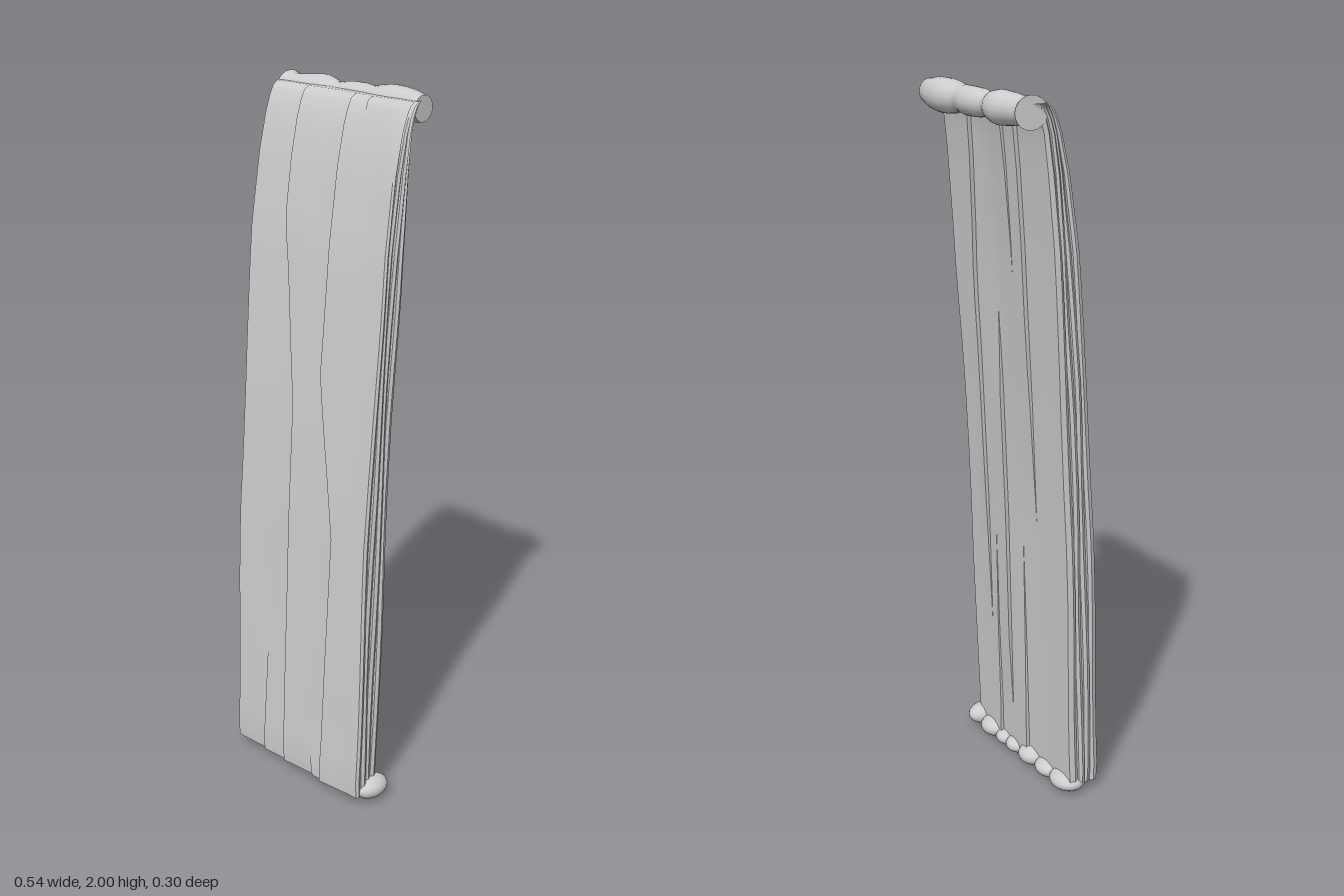
import * as THREE from 'three';
import { toCreasedNormals } from 'three/addons/utils/BufferGeometryUtils.js';

const cloth = new THREE.MeshStandardMaterial({ color: 0xcccccc, side: THREE.DoubleSide });
cloth.name = 'pale grey cloth';

// linear lookup in rows [y, a, b, ...] sorted by falling y
function lookup(rows, y, k) {
  if (y >= rows[0][0]) return rows[0][k];
  for (let i = 1; i < rows.length; i++) {
    const a = rows[i - 1], b = rows[i];
    if (y >= b[0]) return a[k] + (b[k] - a[k]) * (a[0] - y) / (a[0] - b[0]);
  }
  return rows[rows.length - 1][k];
}

// bundle profile: [y, front z, back z]
const PROFILE = [
  [1.975, -0.05, -0.085], [1.965, -0.035, -0.075], [1.94, -0.022, -0.062], [1.9, -0.008, -0.052],
  [1.8, 0.015, -0.04], [1.6, 0.045, -0.022], [1.2, 0.084, 0.007], [0.8, 0.11, 0.027],
  [0.4, 0.129, 0.043], [0.08, 0.142, 0.054], [0.03, 0.139, 0.056],
];
const ROWS = [0.03, 0.045, 0.08, 0.15, 0.25, 0.4, 0.55, 0.65, 0.75, 0.8, 0.95, 1.15, 1.25, 1.4, 1.5,
  1.6, 1.65, 1.75, 1.8, 1.85, 1.9, 1.92, 1.94, 1.955, 1.965, 1.975];

// pleat edges from left to right: [y, x, step depth]
const FRONT_PLEATS = [
  [[1.97, -0.17, 0], [0.55, -0.13, 0], [0.03, -0.14, 0.008]],
  [[1.97, -0.13, 0.009], [1.65, -0.13, 0.008], [1.5, -0.11, 0.003], [1.15, -0.06, 0.007], [0.03, -0.055, 0.007]],
  [[1.97, 0, 0], [0.15, 0.045, 0], [0.03, 0.06, 0.006]],
  [[1.97, 0.04, 0.009], [1.25, 0.04, 0.008], [0.8, 0.11, 0.008], [0.03, 0.095, 0.008]],
  [[1.97, 0.1, 0.006], [1.92, 0.1, 0], [0.8, 0.16, 0], [0.03, 0.16, 0]],
];
const BACK_PLEATS = [
  [[1.97, -0.125, 0.012], [1.3, -0.11, 0.012], [0.8, -0.11, 0], [0.03, -0.12, 0]],
  [[1.97, -0.07, 0.01], [1.5, -0.06, 0], [0.75, -0.04, 0], [0.03, -0.04, 0.012]],
  [[1.97, 0.03, 0], [1.4, 0.03, 0], [1.15, 0.03, 0.012], [0.4, 0.035, 0.01], [0.15, 0.035, 0]],
  [[1.97, 0.06, 0], [0.75, 0.09, 0], [0.03, 0.1, 0.01]],
  [[1.97, 0.085, 0.012], [1.45, 0.13, 0.012], [0.8, 0.13, 0.01], [0.4, 0.13, 0]],
];
const LAYERS = 4, SPLIT = 3;

// points [x, outward offset] across one face; each pleat edge is doubled to make a step
function faceRow(y, pleats, left, right) {
  const edges = pleats.map(p => ({ x: lookup(p, y, 1), s: lookup(p, y, 2) }));
  const stops = [left, ...edges.map(e => e.x), right];
  const row = [];
  for (let i = 0; i < stops.length - 1; i++) {
    for (let j = 0; j <= SPLIT; j++) {
      const x = stops[i] + (stops[i + 1] - stops[i]) * j / SPLIT;
      let off = pleats.length ? 0.006 * Math.max(0, 1 - (x - left) / 0.13) : 0;
      edges.forEach((e, k) => {
        if (k < i) off += e.s * Math.max(0, 1 - (x - e.x) / 0.13);
      });
      row.push([x, off]);
    }
  }
  return row;
}

// one flattened closed fold of cloth
function foldGeometry(layer) {
  const pos = [], index = [];
  const front = layer === 0 ? FRONT_PLEATS : [];
  const back = layer === LAYERS - 1 ? BACK_PLEATS : [];
  let count = 0;
  const ys = [ROWS[0], ...ROWS, ROWS[ROWS.length - 1]];
  ys.forEach((y, r) => {
    const pinch = r === 0 || r === ys.length - 1;
    const zf = lookup(PROFILE, y, 1), zb = lookup(PROFILE, y, 2);
    const a = zf + (zb - zf) * (layer + 0.03) / LAYERS;
    const b = zf + (zb - zf) * (layer + 0.97) / LAYERS;
    const mid = (a + b) / 2;
    const left = -0.255 + 0.004 * Math.sin(y * 7 + layer * 2.1);
    const right = 0.231 + 0.004 * Math.sin(y * 6 + layer * 1.7);
    const f = faceRow(y, front, left, right).map(([x, o]) => [x, pinch ? mid : a + o - (front.length ? 0.002 : 0)]);
    const k = faceRow(y, back, left, right).map(([x, o]) => [x, pinch ? mid : b - o]).reverse();
    const loop = [...f, [right + 0.005, mid], ...k, [left - 0.005, mid]];
    count = loop.length;
    loop.forEach(([x, z]) => pos.push(x, y, z));
  });
  for (let r = 0; r < ys.length - 1; r++) {
    for (let c = 0; c < count; c++) {
      const p = r * count + c, q = r * count + (c + 1) % count;
      index.push(p, q, q + count, p, q + count, p + count);
    }
  }
  const g = new THREE.BufferGeometry();
  g.setAttribute('position', new THREE.Float32BufferAttribute(pos, 3));
  g.setIndex(index);
  return toCreasedNormals(g, 0.7);
}

// lumpy roll along the top: [x, radius, centre z]
function rollGeometry() {
  const rings = [[-0.25, 0.043, -0.094], [-0.222, 0.037, -0.09], [-0.17, 0.041, -0.095], [-0.13, 0.044, -0.102],
    [-0.095, 0.037, -0.1], [-0.07, 0.031, -0.094], [-0.03, 0.037, -0.1], [0.02, 0.038, -0.101],
    [0.06, 0.036, -0.093], [0.09, 0.042, -0.097], [0.13, 0.046, -0.1], [0.18, 0.042, -0.099], [0.232, 0.034, -0.089]];
  const pts = rings.map(([x, r]) => new THREE.Vector2(r, x));
  const smooth = new THREE.SplineCurve(pts).getPoints(48);
  const axis = rings.map(([x, , z]) => [-x, z]);
  const g = new THREE.LatheGeometry([new THREE.Vector2(0, -0.25), ...smooth, new THREE.Vector2(0, 0.232)], 20);
  g.rotateZ(-Math.PI / 2);
  const p = g.attributes.position;
  for (let i = 0; i < p.count; i++) {
    const x = p.getX(i), z = p.getZ(i);
    // the left end is cut on a slant
    if (x < -0.245) p.setX(i, x - z * 0.2);
    p.setZ(i, z + lookup(axis, -x, 1));
    p.setY(i, p.getY(i) + 1.954);
  }
  g.deleteAttribute('normal');
  g.deleteAttribute('uv');
  return toCreasedNormals(g, 0.8);
}

export function createModel() {
  const model = new THREE.Group();
  model.name = 'foldedCloth';
  const add = (name, geometry) => {
    const m = new THREE.Mesh(geometry, cloth);
    m.name = name;
    model.add(m);
    return m;
  };

  for (let i = 0; i < LAYERS; i++) add('clothFold' + (i + 1), foldGeometry(i));
  add('topRoll', rollGeometry());

  // gathered lumps along the bottom: [x, half width, half height, half depth]
  const lumps = [[-0.21, 0.057, 0.029, 0.05], [-0.125, 0.05, 0.026, 0.045], [-0.045, 0.05, 0.03, 0.05],
    [0.035, 0.04, 0.025, 0.044], [0.09, 0.04, 0.024, 0.043], [0.155, 0.052, 0.031, 0.053], [0.228, 0.041, 0.032, 0.055]];
  lumps.forEach(([x, w, h, d], i) => {
    const m = add('bottomLump' + (i + 1), new THREE.SphereGeometry(1, 20, 14));
    m.scale.set(w, h, d);
    m.position.set(x, h + 0.002 + (i === 6 ? 0.008 : 0), 0.071);
  });
  return model;
}
